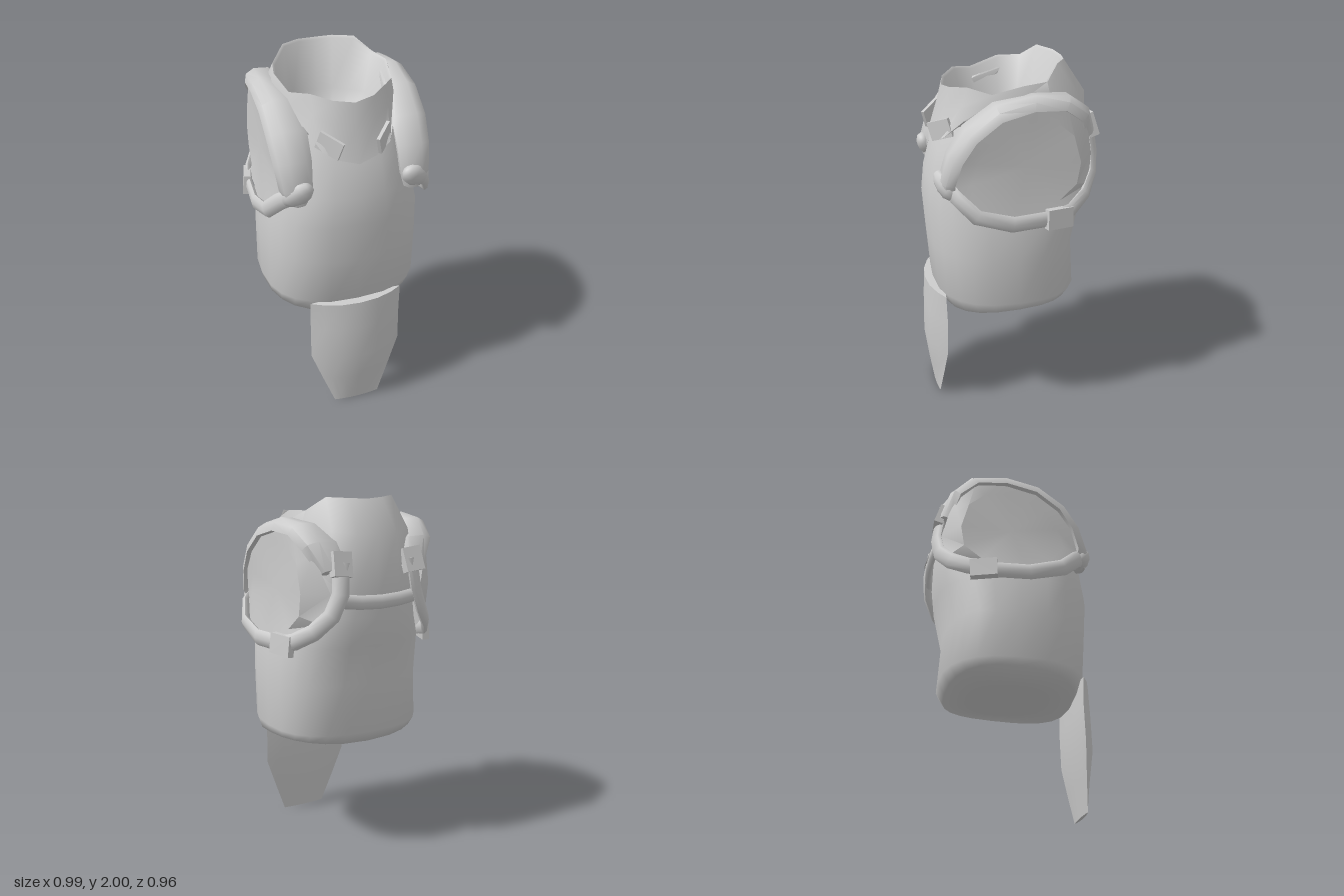
import * as THREE from 'three';
import { toCreasedNormals } from 'three/addons/utils/BufferGeometryUtils.js';

const V = (x, y, z) => new THREE.Vector3(x, y, z);

// Skin a list of cross-section rings; caps are fans to a given or average point
function loft(rings, { startCap = false, endCap = false, crease = 0.9 } = {}) {
  const n = rings[0].length, pos = [], idx = [];
  rings.forEach(r => r.forEach(p => pos.push(p.x, p.y, p.z)));
  for (let i = 0; i < rings.length - 1; i++) {
    for (let j = 0; j < n; j++) {
      const k = (j + 1) % n, a = i * n + j, b = i * n + k;
      idx.push(a, b, b + n, a, b + n, a + n);
    }
  }
  const cap = (ring, base, centre, flip) => {
    const c = centre.isVector3 ? centre
      : ring.reduce((s, p) => s.add(p), V(0, 0, 0)).divideScalar(n);
    const ci = pos.length / 3;
    pos.push(c.x, c.y, c.z);
    for (let j = 0; j < n; j++) {
      const a = base + j, b = base + (j + 1) % n;
      if (flip) idx.push(ci, b, a); else idx.push(ci, a, b);
    }
  };
  if (startCap) cap(rings[0], 0, startCap, true);
  if (endCap) cap(rings[rings.length - 1], (rings.length - 1) * n, endCap, false);
  const g = new THREE.BufferGeometry();
  g.setAttribute('position', new THREE.Float32BufferAttribute(pos, 3));
  g.setIndex(idx);
  return toCreasedNormals(g, crease);
}

// Flat webbing following a path around the body
function webbing(points, thick, width) {
  const rings = points.map((p, i) => {
    const t = points[Math.min(i + 1, points.length - 1)].clone()
      .sub(points[Math.max(i - 1, 0)]).normalize();
    const o = V(p.x, 0, p.z);
    o.addScaledVector(t, -o.dot(t)).normalize();
    const w = t.clone().cross(o);
    return Array.from({ length: 8 }, (_, k) => {
      const a = -k / 8 * Math.PI * 2;
      return p.clone().addScaledVector(o, Math.cos(a) * thick)
        .addScaledVector(w, -Math.sin(a) * width);
    });
  });
  return loft(rings, { startCap: true, endCap: true });
}

// Mirror a half outline (front to back along +x) into a full ring
const fullRing = half => [
  ...half.map(p => V(...p)),
  ...half.slice(1, -1).reverse().map(([x, y, z]) => V(-x, y, z)),
];

export function createModel() {
  const model = new THREE.Group();
  model.name = 'paddedVest';
  const grey = new THREE.MeshStandardMaterial({ color: 0xcccccc, side: THREE.DoubleSide });
  grey.name = 'plain grey';
  const add = (name, geo, parent = model) => {
    const m = new THREE.Mesh(geo, grey);
    m.name = name;
    parent.add(m);
    return m;
  };

  // Torso: y, half width, front z, back z, squareness, drop towards the middle
  const sections = [
    [0.645, 0.22, 0.2, -0.2, 2.2, 0], [0.645, 0.43, 0.37, -0.35, 2.6, 1],
    [0.73, 0.442, 0.42, -0.39, 2.6, 0], [1.0, 0.442, 0.44, -0.37, 2.6, 0],
    [1.22, 0.435, 0.455, -0.42, 2.6, 0], [1.38, 0.39, 0.44, -0.44, 2.6, 0],
    [1.55, 0.38, 0.395, -0.435, 2.5, 0], [1.7, 0.36, 0.33, -0.42, 2.3, 0],
  ];
  const torso = sections.map(([y, hx, zf, zb, e, drop]) =>
    Array.from({ length: 24 }, (_, k) => {
      const a = k / 24 * Math.PI * 2, s = Math.sin(a), c = Math.cos(a);
      const sx = Math.sign(s) * Math.abs(s) ** (2 / e);
      const cz = Math.abs(c) ** (2 / e);
      const z = c > 0 ? cz * zf : cz * zb;
      return V(sx * hx, y + drop * (0.04 * sx * sx - 0.05 * z), z);
    }));
  add('torso', loft(torso, { startCap: V(0, 0.645, 0), crease: 1.35 }));

  // Collar: outer hem, bulge, rim, inner bowl
  const hem = [[0, 1.56, 0.41], [0.1, 1.59, 0.398], [0.185, 1.635, 0.36], [0.25, 1.74, 0.26],
    [0.35, 1.74, -0.02], [0.34, 1.72, -0.2], [0.27, 1.58, -0.385], [0.14, 1.5, -0.435], [0, 1.48, -0.448]];
  const bulge = [[0, 1.74, 0.362], [0.11, 1.76, 0.342], [0.205, 1.8, 0.27], [0.285, 1.82, 0.15],
    [0.335, 1.86, -0.03], [0.315, 1.86, -0.18], [0.235, 1.83, -0.36], [0.12, 1.82, -0.425], [0, 1.82, -0.432]];
  const rim = [[0, 1.87, 0.335], [0.11, 1.885, 0.31], [0.205, 1.905, 0.235], [0.283, 1.88, 0.12],
    [0.315, 1.925, -0.04], [0.285, 1.93, -0.17], [0.205, 2.0, -0.245], [0.1, 1.995, -0.31], [0, 1.99, -0.325]];
  const shrunk = (s, y) => rim.map(([x, ry, z]) => [x * s, y ?? ry - 0.012, z * s]);
  add('collar', loft([hem, bulge, rim, shrunk(0.96), shrunk(0.8, 1.71), shrunk(0.48, 1.56)].map(fullRing),
    { endCap: V(0, 1.47, 0.03), crease: 1.5 }));

  // Front flap, domed in front and nearly flat behind: y, half width, front z, edge z, back z
  const flap = [[0, 0.135, 0.43, 0.418, 0.41], [0.18, 0.205, 0.458, 0.4, 0.388],
    [0.35, 0.268, 0.48, 0.385, 0.366], [0.55, 0.268, 0.475, 0.38, 0.366], [0.72, 0.268, 0.465, 0.385, 0.372]]
    .map(([y, w, zf, ze, zb]) => {
      const arc = [-1, -0.75, -0.4, 0, 0.4, 0.75, 1];
      const at = (u, z) => V(u * w, y, z + (ze - z) * Math.abs(u) ** 2.2);
      return [...arc.map(u => at(u, zf)), ...arc.slice(1, -1).reverse().map(u => at(u, zb))];
    });
  add('frontFlap', loft(flap, { startCap: true, endCap: true, crease: 1.3 }));

  // Everything on one side, mirrored for the other
  for (const side of [1, -1]) {
    const half = new THREE.Group();
    half.name = side > 0 ? 'leftSide' : 'rightSide';
    half.scale.x = side;
    model.add(half);

    // Padded shoulder strap: z, y, inner x, outer x
    const stations = [[0.4, 1.36, 0.27, 0.37], [0.415, 1.45, 0.245, 0.415],
      [0.37, 1.6, 0.235, 0.43], [0.28, 1.735, 0.232, 0.44], [0.12, 1.85, 0.25, 0.44],
      [-0.08, 1.893, 0.29, 0.435], [-0.27, 1.875, 0.25, 0.425], [-0.385, 1.79, 0.185, 0.4],
      [-0.44, 1.65, 0.165, 0.32]];
    add('shoulderPad', loft(stations.map(([z, y, xi, xo]) => {
      const d = V(0, y - 1.42, z).normalize();
      const w = xo - xi;
      return [[0, -0.11], [0, -0.03], [0.2, -0.005], [0.65, 0], [0.92, -0.025], [1, -0.07]]
        .map(([u, r]) => V(xi + u * w, y + d.y * r, z + d.z * r));
    }), { startCap: true, endCap: true }), half);

    // Closed arm opening: z, y, x around the edge
    const edge = [[0.36, 1.42, 0.385], [0.31, 1.57, 0.41], [0.22, 1.71, 0.415], [0.08, 1.8, 0.415],
      [-0.09, 1.845, 0.412], [-0.25, 1.82, 0.4], [-0.37, 1.72, 0.35], [-0.425, 1.52, 0.28],
      [-0.4, 1.36, 0.32], [-0.27, 1.25, 0.42], [0.05, 1.22, 0.435], [0.24, 1.27, 0.425]]
      .map(([z, y, x]) => V(x, y, z));
    const middle = V(0.405, 1.52, -0.04);
    const inner = edge.map(p => {
      const q = p.clone().lerp(middle, 0.25);
      return q.setX(Math.max(q.x, 0.405));
    });
    add('armOpening', loft([edge, inner], { endCap: middle, crease: 0.5 }), half);

    // Strap passing under the arm
    add('underarmStrap', webbing([V(0.22, 1.68, -0.425), V(0.235, 1.52, -0.448), V(0.28, 1.41, -0.435),
      V(0.355, 1.32, -0.375), V(0.42, 1.26, -0.28), V(0.448, 1.235, -0.18), V(0.47, 1.23, 0.05),
      V(0.458, 1.285, 0.24), V(0.41, 1.375, 0.33), V(0.33, 1.43, 0.385)], 0.022, 0.046), half);

    // Buckles and rounded strap end
    const back = add('backBuckle', new THREE.BoxGeometry(0.11, 0.13, 0.05), half);
    back.position.set(0.22, 1.67, -0.425);
    back.rotation.set(0.3, 0.05, 0.1);
    const sideBuckle = add('sideBuckle', new THREE.BoxGeometry(0.04, 0.11, 0.15), half);
    sideBuckle.position.set(0.452, 1.235, -0.205);
    sideBuckle.rotation.set(-0.05, 0.25, 0.1);
    const end = add('strapEnd', new THREE.SphereGeometry(1, 10, 6), half);
    end.scale.set(0.065, 0.095, 0.05);
    end.position.set(0.325, 1.425, 0.38);
    end.quaternion.setFromUnitVectors(V(0, 1, 0), V(-0.1, 0.095, 0.06).normalize());

    // Small tab on the chest
    const tab = add('chestTab', new THREE.BoxGeometry(0.14, 0.1, 0.018), half);
    tab.position.set(0.148, 1.67, 0.368);
    tab.rotation.set(0, 0.8, 0.35);
  }

  // Strap across the back
  add('backStrap', webbing([V(-0.25, 1.485, -0.44), V(-0.12, 1.47, -0.457), V(0, 1.465, -0.463),
    V(0.12, 1.47, -0.457), V(0.25, 1.485, -0.44)], 0.02, 0.038));
  return model;
}
